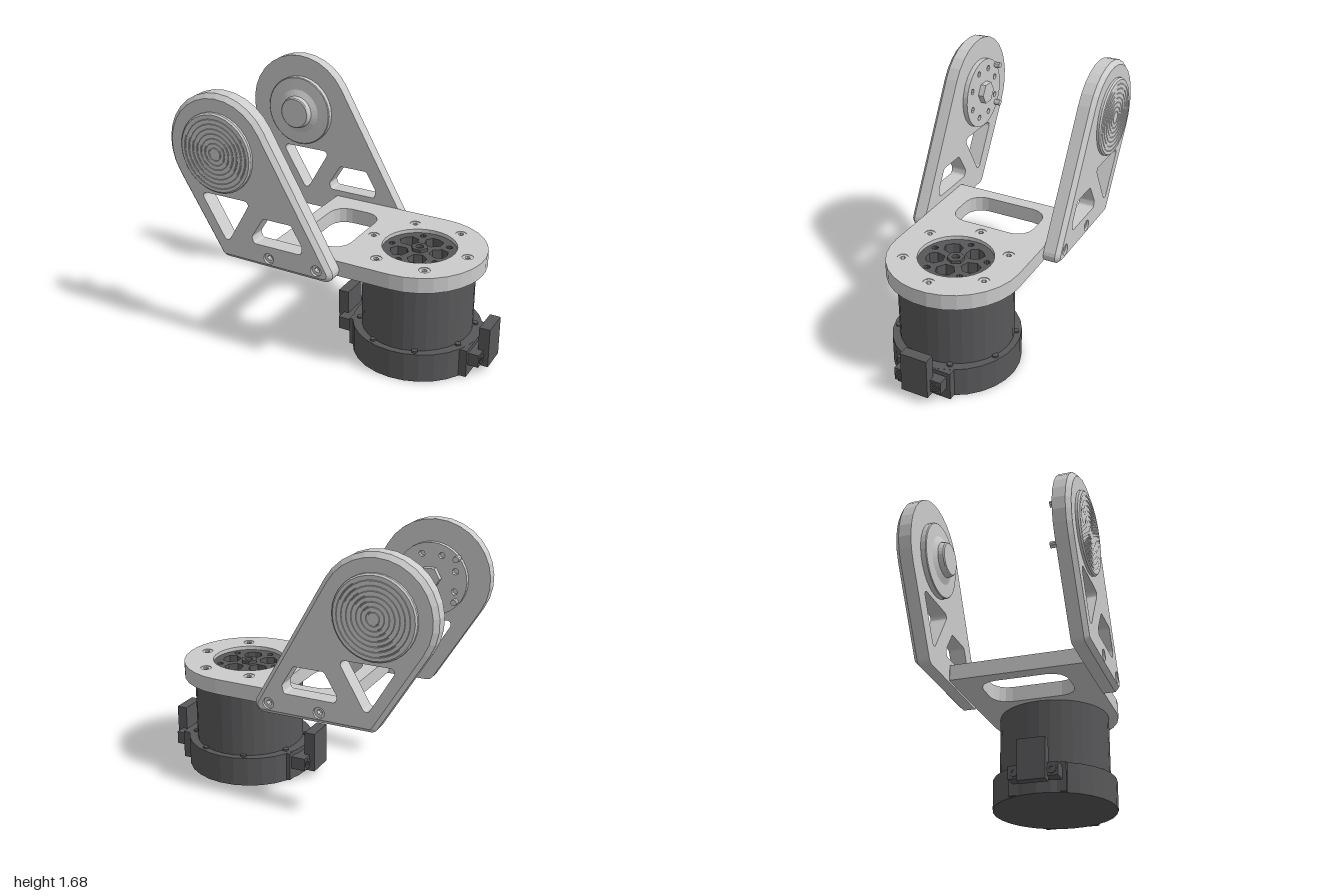
import * as THREE from 'three';
import { mergeGeometries } from 'three/addons/utils/BufferGeometryUtils.js';

const grey = new THREE.MeshStandardMaterial({ color: 0xcccccc, flatShading: true });
const dark = new THREE.MeshStandardMaterial({ color: 0x58585a, flatShading: true });
const TAU = Math.PI * 2;
const CX = 0.475; // motor axis
const PIVOT = [-0.635, 1.32]; // arm joint axis

function add(parent, name, geometry, material, x = 0, y = 0, z = 0) {
  const mesh = new THREE.Mesh(geometry, material);
  mesh.name = name;
  mesh.position.set(x, y, z);
  parent.add(mesh);
  return mesh;
}

// Points of a regular polygon
function ring(x, y, r, n = 16) {
  return Array.from({ length: n }, (_, i) =>
    new THREE.Vector2(x + r * Math.cos(i / n * TAU), y + r * Math.sin(i / n * TAU)));
}

// Rounded outline round circles [x, y, r] listed counter-clockwise
function hull(circles, inset = 0) {
  const normal = (a, b) => Math.atan2(b[1] - a[1], b[0] - a[0])
    - Math.acos((a[2] - b[2]) / Math.hypot(b[0] - a[0], b[1] - a[1]));
  const n = circles.length, points = [];
  circles.forEach((c, i) => {
    const from = normal(circles[(i + n - 1) % n], c);
    const sweep = (((normal(c, circles[(i + 1) % n]) - from) % TAU) + TAU) % TAU;
    const steps = Math.max(2, Math.ceil(sweep / (c[2] > 0.2 ? 0.22 : 0.5)));
    for (let k = 0; k <= steps; k++) {
      const a = from + sweep * k / steps;
      points.push(new THREE.Vector2(c[0] + (c[2] - inset) * Math.cos(a), c[1] + (c[2] - inset) * Math.sin(a)));
    }
  });
  return points;
}

function slab(outline, holes, depth) {
  const shape = new THREE.Shape(outline);
  shape.holes = holes.map(h => new THREE.Path(h));
  return new THREE.ExtrudeGeometry(shape, { depth, bevelEnabled: false });
}

// Sloping band from outline a at z0 to outline b at z1, both counter-clockwise
function band(a, z0, b, z1) {
  const corners = [];
  a.forEach((p, i) => {
    const j = (i + 1) % a.length;
    const p0 = [p.x, p.y, z0], p1 = [a[j].x, a[j].y, z0];
    const q0 = [b[i].x, b[i].y, z1], q1 = [b[j].x, b[j].y, z1];
    corners.push(...p0, ...p1, ...q1, ...p0, ...q1, ...q0);
  });
  const geometry = new THREE.BufferGeometry();
  geometry.setAttribute('position', new THREE.Float32BufferAttribute(corners, 3));
  geometry.computeVertexNormals();
  return geometry;
}

// Round solid along z from [radius, z] points
function turned(points, sides = 32) {
  return new THREE.LatheGeometry(points.map(p => new THREE.Vector2(...p)), sides).rotateX(Math.PI / 2);
}

// Screw with a blind hex socket, facing +z
function screw(r, depth, socket) {
  return mergeGeometries([
    slab(ring(0, 0, r), [], depth - socket),
    slab(ring(0, 0, r), [ring(0, 0, r * 0.5, 6)], socket).translate(0, 0, depth - socket),
  ]);
}

// Side arm facing +z; m = -1 mirrors it in x
function makeArm(m) {
  const arm = new THREE.Group();
  const flip = pts => {
    const out = pts.map(p => new THREE.Vector2(p.x * m, p.y));
    return m < 0 ? out.reverse() : out;
  };
  const corners = [[-0.615, 0.665, 0.045], [0.085, 0.67, 0.055], [...PIVOT, 0.365]];
  const full = flip(hull(corners)), inner = flip(hull(corners, 0.028));
  const triangle = hull([[-0.595, 0.775, 0.025], [-0.455, 1.015, 0.025], [-0.735, 1.015, 0.025]]);
  const trapezoid = hull([[-0.385, 0.79, 0.02], [-0.08, 0.79, 0.02], [-0.075, 0.82, 0.02],
    [-0.14, 0.93, 0.02], [-0.315, 0.93, 0.02], [-0.39, 0.81, 0.02]]);
  const screws = [[-0.295, 0.688], [0.04, 0.688]];
  const holes = [triangle, trapezoid, ...screws.map(s => ring(...s, 0.036))].map(flip);

  // Plate with a chamfer round its outer face
  add(arm, 'armPlate', slab(full, holes, 0.078), grey, 0, 0, 0.425);
  add(arm, 'armChamfer', band(full, 0.078, inner, 0.105), grey, 0, 0, 0.425);
  add(arm, 'armFace', slab(inner, holes, 0.027), grey, 0, 0, 0.503);

  for (const [x, y] of screws) add(arm, 'armScrew', screw(0.036, 0.08, 0.03), grey, x * m, y, 0.435);

  // Outer cap with shallow concentric grooves
  const profile = [[0, 0.52], [0.255, 0.52], [0.255, 0.545], [0.245, 0.555]];
  for (let r = 0.225; r > 0.02; r -= 0.03) profile.push([r, 0.555], [r - 0.003, 0.553], [r - 0.007, 0.553], [r - 0.01, 0.555]);
  profile.push([0, 0.555]);
  add(arm, 'jointCap', turned(profile), grey, PIVOT[0] * m, PIVOT[1], 0);
  return arm;
}

export function createModel() {
  const model = new THREE.Group();
  model.name = 'motorBracket';

  // Front arm with a drilled inner flange, hex hub and two pins
  const front = makeArm(1);
  front.name = 'frontArm';
  const boltHoles = Array.from({ length: 8 }, (_, i) =>
    ring(0.17 * Math.cos((i + 0.5) * TAU / 8), 0.17 * Math.sin((i + 0.5) * TAU / 8), 0.02, 10));
  add(front, 'innerFlange', slab(ring(0, 0, 0.235, 32), boltHoles, 0.035), grey, PIVOT[0] + 0.01, PIVOT[1] - 0.012, 0.393);
  add(front, 'hexHub', slab(ring(0, 0, 0.075, 6), [], 0.07), grey, PIVOT[0] + 0.015, PIVOT[1], 0.355);
  for (const s of [-1, 1]) {
    add(front, 'flangePin', slab(ring(0, 0, 0.02, 10), [], 0.06), grey, PIVOT[0] - 0.157, PIVOT[1] + 0.138 * s, 0.355);
  }
  model.add(front);

  // Back arm with a stepped inner hub
  const back = makeArm(-1);
  back.name = 'backArm';
  back.rotation.y = Math.PI;
  add(back, 'innerHub', turned([[0, 0.33], [0.098, 0.33], [0.105, 0.337], [0.11, 0.368], [0.15, 0.386],
    [0.23, 0.39], [0.235, 0.395], [0.235, 0.43], [0, 0.43]]), grey, -PIVOT[0] - 0.01, PIVOT[1] - 0.01, 0);
  model.add(back);

  // Horizontal plate with window, rotor opening and screw holes
  const plateScrews = Array.from({ length: 6 }, (_, i) =>
    [CX + 0.32 * Math.cos(i * TAU / 6), 0.32 * Math.sin(i * TAU / 6)]);
  const plateOutline = hull([[-0.345, -0.42, 0.005], [CX, 0, 0.425], [-0.345, 0.42, 0.005]]);
  const window = hull([[-0.15, -0.165, 0.11], [-0.03, -0.165, 0.11], [-0.03, 0.165, 0.11], [-0.15, 0.165, 0.11]]);
  const plateHoles = [window, ring(CX, 0, 0.235, 32), ...plateScrews.map(s => ring(...s, 0.035))];
  add(model, 'basePlate', slab(plateOutline, plateHoles, 0.1).rotateX(-Math.PI / 2), grey, 0, 0.63, 0);
  for (const [x, y] of plateScrews) {
    add(model, 'plateScrew', screw(0.035, 0.094, 0.02).rotateX(-Math.PI / 2), grey, x, 0.632, -y);
  }

  // Motor body and wider base
  const motor = new THREE.Group();
  motor.name = 'motor';
  motor.position.x = CX;
  model.add(motor);
  add(motor, 'motorBody', new THREE.CylinderGeometry(0.355, 0.355, 0.45, 32), dark, 0, 0.407, 0).scale.z = 1.02;
  add(motor, 'motorBase', new THREE.CylinderGeometry(0.418, 0.418, 0.193, 28), dark, 0, 0.0965, 0).scale.z = 0.965;

  // Rotor face with five openings and a ring of small holes
  const openings = [];
  for (let i = 0; i < 5; i++) {
    const a = i * TAU / 5;
    const at = (r, t) => new THREE.Vector2(r * Math.cos(a + t), r * Math.sin(a + t));
    openings.push([at(0.08, -0.35), at(0.14, -0.45), at(0.18, -0.25), at(0.185, 0), at(0.18, 0.25), at(0.14, 0.45), at(0.08, 0.35)]);
    openings.push(ring(0.19 * Math.cos(a + TAU / 10), 0.19 * Math.sin(a + TAU / 10), 0.02, 10));
  }
  add(motor, 'rotorFace', slab(ring(0, 0, 0.235, 32), openings, 0.075).rotateX(-Math.PI / 2), dark, 0, 0.63, 0);
  add(motor, 'rotorHub', slab(ring(0, 0, 0.055, 6), [ring(0, 0, 0.025, 12)], 0.025).rotateX(-Math.PI / 2), dark, 0, 0.7, 0);

  // Side connectors and upright clips on both sides of the base
  for (const s of [-1, 1]) {
    const box = (name, x0, x1, y0, y1, w) =>
      add(motor, name, new THREE.BoxGeometry(x1 - x0, y1 - y0, w), dark, s * (x0 + x1) / 2, (y0 + y1) / 2, 0);
    box('connectorMount', 0.34, s > 0 ? 0.42 : 0.395, 0.005, 0.192, 0.37);
    box('connector', 0.38, 0.488, 0.08, 0.165, 0.32);
    box('clip', 0.455, 0.525, 0.055, 0.32, 0.18);
    for (const z of [-0.12, 0.12]) {
      add(motor, 'connectorScrew', screw(0.03, 0.02, 0.01), dark, s * 0.475, 0.122, z).rotation.y = s * Math.PI / 2;
    }
  }

  // Small bosses round the top of the base
  for (let i = 0; i < 8; i++) {
    const a = (i + 0.5) * TAU / 8;
    add(motor, 'baseBoss', new THREE.CylinderGeometry(0.02, 0.02, 0.03, 8), dark, 0.37 * Math.cos(a), 0.19, 0.37 * Math.sin(a));
  }
  return model;
}
